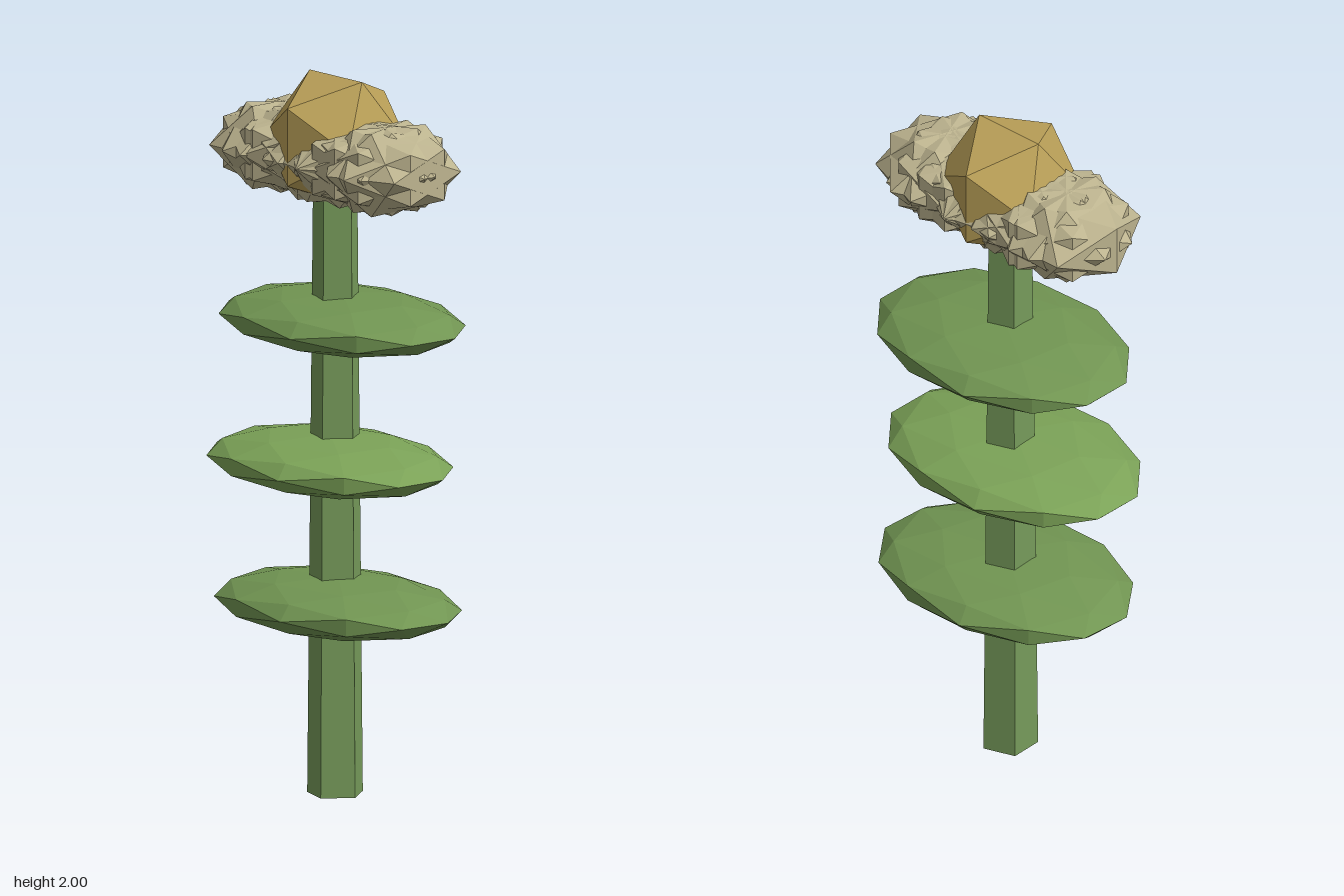
import * as THREE from 'three';

const material = (color, flatShading = true) => new THREE.MeshStandardMaterial({ color, flatShading });

export function createModel() {
  const model = new THREE.Group();
  model.name = 'flower';
  const axisX = -0.013;

  const add = (name, geometry, mat, x, y, z, parent = model) => {
    const mesh = new THREE.Mesh(geometry, mat);
    mesh.name = name;
    mesh.position.set(x, y, z);
    parent.add(mesh);
    return mesh;
  };

  // Five-sided tapering stem with one ridge towards +x
  const stemHeight = 1.78;
  const stem = new THREE.CylinderGeometry(0.063, 0.08, stemHeight, 5, 1, false, Math.PI / 2);
  add('stem', stem, material(0x769a5a), axisX, stemHeight / 2, 0);

  // Three flattened faceted leaf discs, slightly off the stem's axis
  const leaves = [
    { x: 0.007, y: 0.535, z: 0.01, turn: 0.2, color: 0x719552 },
    { x: -0.017, y: 0.928, z: 0.018, turn: 0.25, color: 0x7ba257 },
    { x: -0.012, y: 1.318, z: -0.022, turn: 0.25, color: 0x719552 },
  ];
  leaves.forEach(({ x, y, z, turn, color }) => {
    const leaf = new THREE.IcosahedronGeometry(1, 1).rotateY(turn).scale(0.4, 0.077, 0.284);
    add('leaf', leaf, material(color), x, y, z);
  });

  // Spiky flower head: overlapping flattened petals strung along the x axis
  const petals = new THREE.Group();
  petals.name = 'petals';
  petals.position.set(axisX, 1.778, 0);
  model.add(petals);
  const petalMaterial = material(0xbdb48f);
  const petalCount = 17;
  for (let i = 0; i < petalCount; i++) {
    const angle = Math.PI + (i / petalCount) * Math.PI * 2;
    const petal = new THREE.IcosahedronGeometry(0.2, 0).rotateY(Math.PI / 2 - angle * 2).scale(1, 0.68, 1);
    add('petal', petal, petalMaterial, Math.cos(angle) * 0.225, 0, 0, petals);
  }

  // Golden faceted flower centre
  add('flowerCentre', new THREE.IcosahedronGeometry(0.206, 0), material(0xbaa058), axisX, 1.825, 0);

  return model;
}
